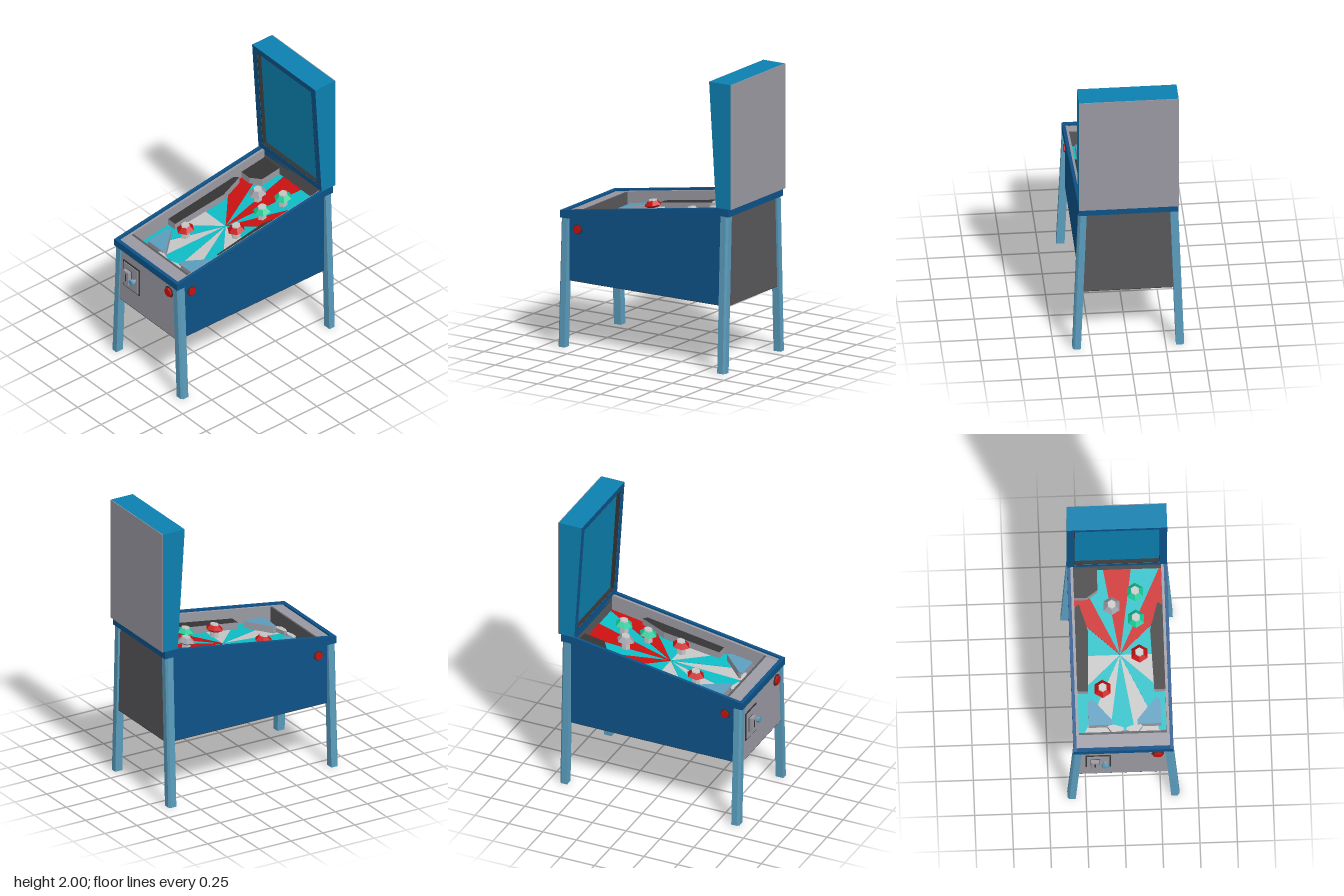
import * as THREE from 'three';

const mat = (name, color) => {
  const m = new THREE.MeshStandardMaterial({ color });
  m.name = name;
  return m;
};

export function createModel() {
  const root = new THREE.Group();
  root.name = 'pinballTable';
  const navy = mat('navy', 0x0d5288), blue = mat('blue', 0x0c80b0), steel = mat('steelBlue', 0x5a9cbc),
    gray = mat('gray', 0x9a99a2), dark = mat('darkGray', 0x58575a), coal = mat('charcoal', 0x343434),
    red = mat('red', 0xc81010), teal = mat('teal', 0x0ebcc4), pale = mat('paleGray', 0xc4c4c4),
    green = mat('green', 0x10c896);

  // Hard-edged mesh; bend optionally moves each vertex by a rule
  const add = (name, geo, material, bend, parent = root) => {
    const g = geo.index ? geo.toNonIndexed() : geo;
    if (bend) {
      const p = g.attributes.position, v = new THREE.Vector3();
      for (let i = 0; i < p.count; i++) {
        bend(v.fromBufferAttribute(p, i));
        p.setXYZ(i, v.x, v.y, v.z);
      }
    }
    g.computeVertexNormals();
    const mesh = new THREE.Mesh(g, material);
    mesh.name = name;
    parent.add(mesh);
    return mesh;
  };
  const block = (x0, x1, y0, y1, z0, z1) =>
    new THREE.BoxGeometry(x1 - x0, y1 - y0, z1 - z0).translate((x0 + x1) / 2, (y0 + y1) / 2, (z0 + z1) / 2);
  const shapeOf = pts => new THREE.Shape(pts.map(p => new THREE.Vector2(p[0], p[1])));
  const extrude = (shape, depth) => new THREE.ExtrudeGeometry(shape, { depth, bevelEnabled: false });
  // Side profile given as [z, y], spanning x0 to x1
  const profile = (pts, x0, x1) => extrude(shapeOf(pts), x1 - x0).rotateY(-Math.PI / 2).translate(x1, 0, 0);
  // Plan outline given as [x, z], rising from h0 to h1
  const plate = (pts, h0, h1) =>
    extrude(shapeOf(pts.map(([x, z]) => [x, -z])), h1 - h0).rotateX(-Math.PI / 2).translate(0, h0, 0);
  // Heights above the sloping playfield
  const slope = v => { v.y += 0.91 - 0.157 * v.z; };
  const mirrorX = (pts, s, cx = 0) => pts.map(([x, z]) => [cx + s * x, z]);

  // Cabinet shell
  const sidePts = [[0.64, 0.457], [-0.65, 0.457], [-0.65, 1.1], [-0.62, 1.1], [0.64, 0.9]];
  add('rightCabinetSide', profile(sidePts, -0.317, -0.307), navy);
  add('leftCabinetSide', profile(sidePts, 0.307, 0.317), navy);
  add('cabinetFront', block(-0.317, 0.317, 0.457, 0.9, 0.635, 0.645), gray);
  add('cabinetBack', block(-0.317, 0.317, 0.457, 1.1, -0.655, -0.645), dark);
  add('cabinetFloor', block(-0.316, 0.316, 0.453, 0.463, -0.654, 0.644), coal);

  // Top rim
  const railPts = [[0.664, 0.885], [0.6, 0.885], [-0.62, 1.08], [-0.68, 1.08], [-0.68, 1.133], [-0.595, 1.133], [0.664, 0.935]];
  add('rightRail', profile(railPts, -0.335, -0.313), navy);
  add('leftRail', profile(railPts, 0.313, 0.335), navy);
  add('frontRail', block(-0.313, 0.313, 0.885, 0.935, 0.637, 0.664), navy);
  add('backRail', block(-0.313, 0.313, 1.08, 1.133, -0.68, -0.6), navy);

  // Inner walls and apron
  for (const s of [-1, 1])
    add('innerWall', block(-0.01, 0.01, -0.03, 0.115, -0.6, 0.638).translate(s * 0.305, 0, 0), gray, slope);
  add('rearWall', block(-0.3, 0.3, -0.03, 0.12, -0.615, -0.6), dark, slope);
  add('apron', block(-0.295, 0.295, -0.03, 0.112, 0.545, 0.638), gray, slope);
  add('apronLip', block(-0.295, 0.295, -0.03, 0.112, 0.53, 0.545), dark, slope);

  // Playfield with sunburst
  const W = 0.295, mid = -0.025, zBack = -0.6, zFront = 0.53;
  add('upperPlayfield', block(-W, W, -0.02, 0, zBack, mid), teal, slope);
  add('lowerPlayfield', block(-W, W, -0.02, 0, mid, zFront), pale, slope);
  const tan = deg => Math.tan(deg * Math.PI / 180);
  for (const [zEnd, m] of [[zBack, red], [zFront, teal]]) {
    const len = Math.abs(zEnd - mid), dir = Math.sign(zEnd - mid), x = len * tan(9.2);
    add('centreRay', plate([[0, mid], [-x, zEnd], [x, zEnd]], 0, 0.003), m, slope);
    const ray = [[0, mid], [len * tan(26), zEnd], [W, zEnd], [W, mid + dir * W / tan(48)]];
    for (const s of [-1, 1]) add('sideRay', plate(mirrorX(ray, s), 0, 0.003), m, slope);
  }

  // Raised guides, slingshots and flippers
  const guide = [[0.295, -0.335], [0.263, -0.357], [0.208, -0.175], [0.222, 0.23], [0.295, 0.23]];
  const sling = [[0.244, 0.305], [0.217, 0.28], [0.084, 0.43], [0.084, 0.46], [0.244, 0.46]];
  const flipper = [[0.117, 0.47], [0.095, 0.45], [0.012, 0.475], [0.006, 0.495], [0.05, 0.51], [0.09, 0.505]];
  for (const s of [-1, 1]) {
    add('sideGuide', plate(mirrorX(guide, s), 0, 0.05), [coal, gray], slope);
    add('slingshot', plate(mirrorX(sling, s, 0.017), 0, 0.05), [steel, gray], slope);
    add('flipper', plate(mirrorX(flipper, s, 0.017), 0.01, 0.04), [pale, gray], slope);
  }
  add('cornerGuide', plate([[-0.295, -0.6], [-0.135, -0.6], [-0.135, -0.45], [-0.21, -0.4], [-0.295, -0.4]], 0, 0.05), [coal, gray], slope);

  // Bumpers
  const hex = (rTop, rBase, y0, y1, x, z) =>
    new THREE.CylinderGeometry(rTop, rBase, y1 - y0, 6).translate(x, (y0 + y1) / 2, z);
  for (const [x, z, m] of [[-0.045, -0.337, gray], [0.115, -0.425, green], [0.115, -0.245, green], [0.13, -0.01, red], [-0.125, 0.22, red]]) {
    const g = new THREE.Group();
    g.name = 'bumper';
    root.add(g);
    add('bumperPost', hex(0.032, 0.032, 0, 0.045, x, z), pale, slope, g);
    add('bumperSkirt', hex(0.062, 0.032, 0.04, 0.058, x, z), m, slope, g);
    add('bumperDome', hex(0.032, 0.062, 0.058, 0.088, x, z), m, slope, g);
    add('bumperCap', hex(0.029, 0.032, 0.088, 0.096, x, z), pale, slope, g);
  }

  // Splayed legs with chamfered outer corner
  const legPts = [[0.28, 0.6], [0.335, 0.6], [0.335, 0.643], [0.322, 0.656], [0.28, 0.656]];
  for (const sx of [-1, 1]) for (const sz of [-1, 1]) {
    const pts = legPts.map(([x, z]) => [sx * x, sz > 0 ? z : -z - 0.015]);
    add(sz > 0 ? 'frontLeg' : 'backLeg', plate(pts, 0, sz > 0 ? 0.886 : 1.081), steel,
      v => { v.x += sx * Math.max(0, 0.04 * (1 - v.y / 0.886)); });
  }

  // Backbox: tilted front, recessed screen, framed face
  const face = y => -0.58 + 0.055 * (y - 1.135) / 0.865;
  add('backboxBody', profile([[-0.695, 1.135], [-0.695, 2], [face(2) - 0.03, 2], [face(1.135) - 0.03, 1.135]], -0.335, 0.335), blue);
  add('backboxRear', block(-0.335, 0.335, 1.135, 2, -0.7, -0.695), gray);
  const ring = (w, y0, y1, hw, h0, h1, depth) => {
    const s = shapeOf([[-w, y0], [w, y0], [w, y1], [-w, y1]]);
    s.holes.push(shapeOf([[-hw, h0], [-hw, h1], [hw, h1], [hw, h0]]));
    return extrude(s, depth).translate(0, 0, -0.03);
  };
  const tilt = v => { v.z += face(v.y); };
  add('backboxFrame', ring(0.335, 1.135, 2, 0.288, 1.178, 1.958, 0.03), [navy, blue], tilt);
  add('screenSurround', ring(0.288, 1.178, 1.958, 0.284, 1.182, 1.954, 0.028), coal, tilt);

  // Coin door
  add('coinDoorFrame', block(-0.254, -0.084, 0.598, 0.807, 0.64, 0.651), coal);
  add('coinDoor', block(-0.244, -0.094, 0.608, 0.797, 0.64, 0.656), gray);
  add('coinSlotEdge', block(-0.221, -0.157, 0.651, 0.761, 0.65, 0.659), dark);
  add('coinSlotPlate', block(-0.217, -0.161, 0.655, 0.757, 0.65, 0.684), gray);
  add('coinSlot', block(-0.194, -0.184, 0.68, 0.735, 0.68, 0.686), coal);
  const knob = (r, z0, z1, x, y, n) =>
    new THREE.CylinderGeometry(r, r, z1 - z0, n).rotateX(Math.PI / 2).translate(x, y, (z0 + z1) / 2);
  add('lockStem', knob(0.012, 0.65, 0.68, -0.122, 0.705, 8), gray);
  add('lockKnob', knob(0.022, 0.676, 0.696, -0.122, 0.705, 8), steel);

  // Buttons
  add('startButtonRing', knob(0.042, 0.64, 0.652, 0.23, 0.813, 8), coal);
  add('startButton', knob(0.033, 0.65, 0.664, 0.23, 0.813, 8), red);
  for (const s of [-1, 1]) {
    const side = (r, d) => new THREE.CylinderGeometry(r, r, d, 8).rotateZ(Math.PI / 2).translate(s * (0.317 + d / 2), 0.818, 0.53);
    add('flipperButtonRing', side(0.036, 0.008), coal);
    add('flipperButton', side(0.028, 0.017), red);
  }
  return root;
}
